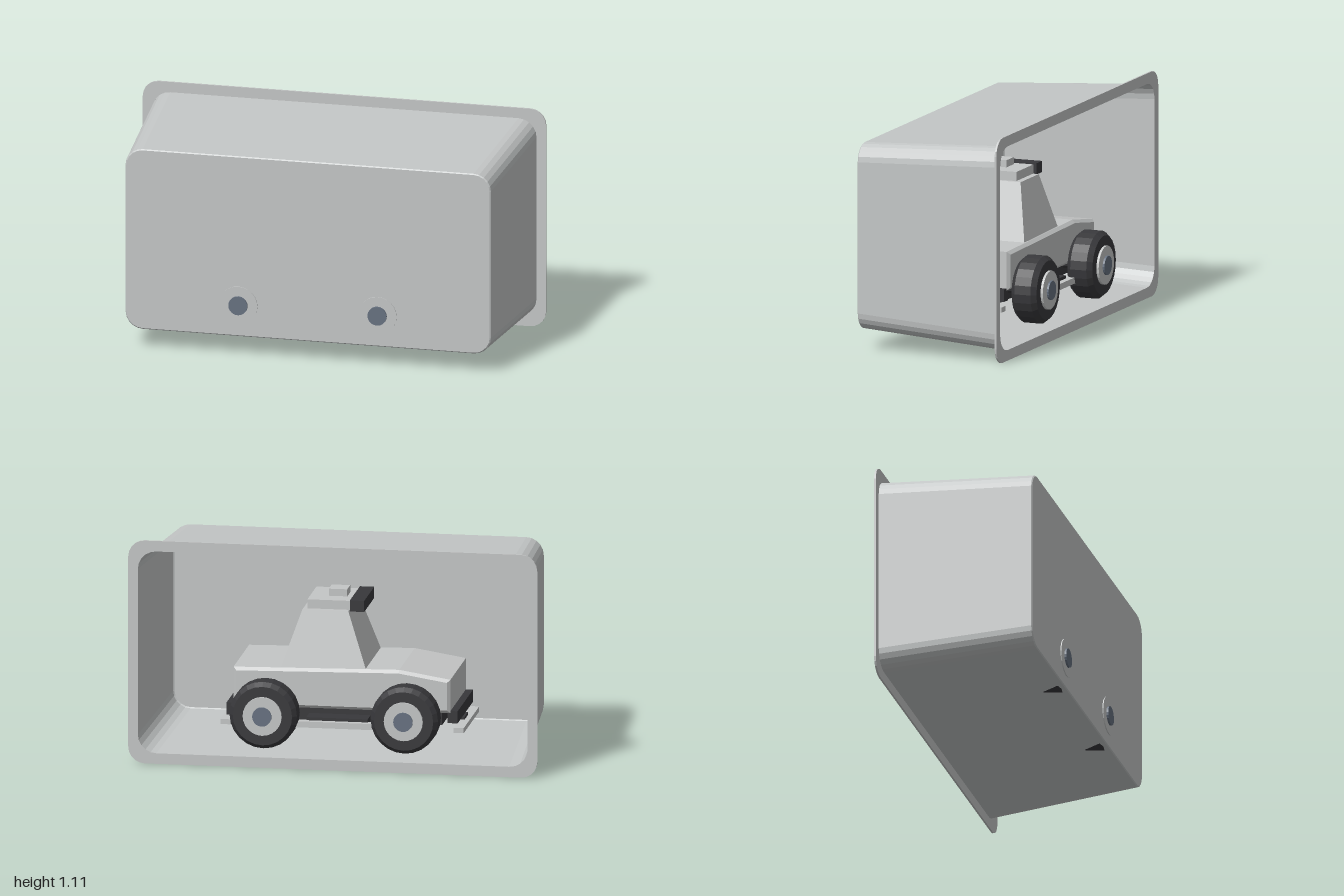
import * as THREE from 'three';

const mat = (name, color, extra = {}) => {
  const m = new THREE.MeshStandardMaterial({ color, flatShading: true, ...extra });
  m.name = name;
  return m;
};

// Points of a rounded rectangle, counter-clockwise
function roundedRect(hw, y0, y1, r, steps = 5) {
  const pts = [];
  const corners = [[hw - r, y1 - r], [-hw + r, y1 - r], [-hw + r, y0 + r], [hw - r, y0 + r]];
  corners.forEach(([cx, cy], k) => {
    for (let i = 0; i <= steps; i++) {
      const a = (k + i / steps) * Math.PI / 2;
      pts.push(new THREE.Vector2(cx + r * Math.cos(a), cy + r * Math.sin(a)));
    }
  });
  return pts;
}

// Skin between loops of equal point count; each loop is [z, points]
function loft(loops) {
  const pos = [], idx = [], n = loops[0][1].length;
  for (const [z, pts] of loops) for (const p of pts) pos.push(p.x, p.y, z);
  for (let j = 0; j < loops.length - 1; j++) {
    for (let i = 0; i < n; i++) {
      const a = j * n + i, b = j * n + (i + 1) % n;
      idx.push(a, b, b + n, a, b + n, a + n);
    }
  }
  const g = new THREE.BufferGeometry();
  g.setAttribute('position', new THREE.Float32BufferAttribute(pos, 3));
  g.setIndex(idx);
  g.computeVertexNormals();
  return g;
}

export function createModel() {
  const light = mat('light grey', 0xc4c6c6);
  const shell = mat('shell grey', 0xc3c6c6, { side: THREE.DoubleSide });
  const dark = mat('rubber black', 0x38383b);
  const steel = mat('hub steel', 0x667180);

  const model = new THREE.Group();
  const add = (parent, name, geo, m, x = 0, y = 0, z = 0) => {
    const mesh = new THREE.Mesh(geo, m);
    mesh.name = name;
    mesh.position.set(x, y, z);
    parent.add(mesh);
    return mesh;
  };
  const box = (parent, name, w, h, d, m, x, y, z) =>
    add(parent, name, new THREE.BoxGeometry(w, h, d), m, x, y, z);

  // Tapered open tray: walls, closed front panel, rim flange at the back
  const tray = new THREE.Group();
  tray.name = 'tray';
  model.add(tray);
  const mouth = roundedRect(0.953, 0.052, 1.053, 0.09);
  const panel = roundedRect(0.9, 0.102, 1.005, 0.08);
  add(tray, 'trayWalls', loft([
    [-0.38, mouth],
    [0.38, roundedRect(0.906, 0.097, 1.01, 0.085)],
    [0.385, panel],
  ]), shell);
  add(tray, 'trayPanel', new THREE.ShapeGeometry(new THREE.Shape(panel)), shell, 0, 0, 0.385);
  const rim = new THREE.Shape(roundedRect(1, 0, 1.105, 0.08));
  rim.holes.push(new THREE.Path(mouth));
  add(tray, 'trayRim', new THREE.ExtrudeGeometry(rim, { depth: 0.009, bevelEnabled: false }),
    light, 0, 0, -0.384);

  // Vehicle inside the tray, nose towards -x
  const car = new THREE.Group();
  car.name = 'vehicle';
  model.add(car);

  // Body: side profile with chamfered sides
  const side = new THREE.Shape([
    [-0.55, 0.27], [0.51, 0.27], [0.51, 0.46], [-0.3, 0.475], [-0.55, 0.435],
  ].map(([x, y]) => new THREE.Vector2(x, y)));
  add(car, 'body', new THREE.ExtrudeGeometry(side, {
    depth: 0.46, bevelEnabled: true, bevelThickness: 0.015, bevelSize: 0.015,
    bevelOffset: -0.015, bevelSegments: 1,
  }), light, 0, 0, -0.23);

  // Cabin: a box narrowed towards the roof
  const cabinGeo = new THREE.BoxGeometry(1, 0.275, 1);
  const p = cabinGeo.attributes.position;
  for (let i = 0; i < p.count; i++) {
    const top = p.getY(i) > 0;
    const [x0, x1, hz] = top ? [-0.04, 0.185, 0.165] : [-0.137, 0.28, 0.225];
    p.setX(i, p.getX(i) < 0 ? x0 : x1);
    p.setZ(i, Math.sign(p.getZ(i)) * hz);
  }
  cabinGeo.computeVertexNormals();
  add(car, 'cabin', cabinGeo, light, 0, 0.6025, 0);

  // Roof equipment
  box(car, 'roofPlatform', 0.22, 0.045, 0.27, light, 0.055, 0.762, 0);
  box(car, 'roofBar', 0.07, 0.055, 0.3, dark, -0.08, 0.763, 0);
  box(car, 'roofBox', 0.09, 0.035, 0.09, light, 0.03, 0.802, 0);

  // Underside
  box(car, 'chassis', 0.96, 0.08, 0.34, dark, -0.02, 0.235, 0);

  // Bumpers and lower guards at both ends
  for (const [name, x, s] of [['front', -0.56, -1], ['rear', 0.52, 1]]) {
    box(car, name + 'Bumper', 0.05, 0.06, 0.46, dark, x, 0.25, 0);
    box(car, name + 'Guard', 0.05, 0.025, 0.46, light, x + s * 0.03, 0.185, 0);
    box(car, name + 'GuardMount', 0.08, 0.02, 0.1, dark, x - s * 0.01, 0.2, 0);
  }

  // Wheels, side sills and axles
  const tyreGeo = new THREE.LatheGeometry([
    [0.04, -0.065], [0.145, -0.065], [0.165, -0.042], [0.165, 0.042], [0.145, 0.066], [0.04, 0.066],
  ].map(([r, y]) => new THREE.Vector2(r, y)), 24);
  const rimGeo = new THREE.CylinderGeometry(0.095, 0.095, 0.03, 24);
  const hubGeo = new THREE.CylinderGeometry(0.047, 0.047, 0.03, 20);
  for (const s of [-1, 1]) {
    box(car, 'sill', 0.46, 0.03, 0.04, light, 0, 0.2, s * 0.27);
    box(car, 'sillMount', 0.3, 0.03, 0.1, dark, 0, 0.215, s * 0.21);
    for (const x of [-0.345, 0.345]) {
      const wheel = new THREE.Group();
      wheel.name = 'wheel';
      wheel.position.set(x, 0.255, s * 0.312);
      wheel.rotation.x = s * Math.PI / 2;
      car.add(wheel);
      add(wheel, 'tyre', tyreGeo, dark);
      add(wheel, 'wheelDisc', rimGeo, light, 0, 0.063, 0);
      add(wheel, 'hub', hubGeo, steel, 0, 0.073, 0);
    }
  }
  for (const x of [-0.345, 0.345]) {
    const axle = add(car, 'axle', new THREE.CylinderGeometry(0.03, 0.03, 0.52, 12), dark, x, 0.255, 0);
    axle.rotation.x = Math.PI / 2;
  }

  return model;
}
